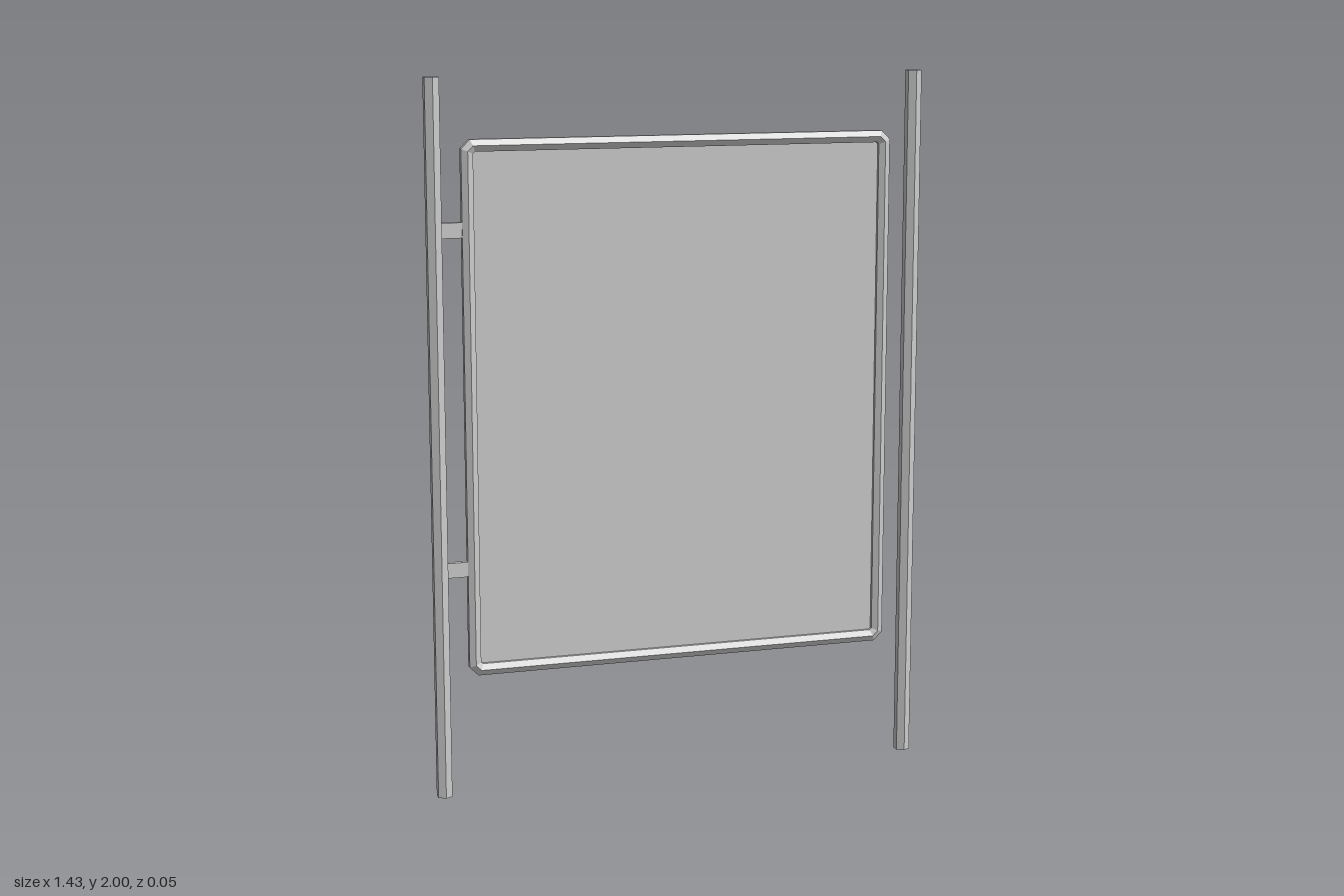
import * as THREE from 'three';

const mat = new THREE.MeshStandardMaterial({ color: 0xcccccc, flatShading: true });
const glassMat = new THREE.MeshStandardMaterial({ color: 0xcccccc, side: THREE.DoubleSide });

function add(parent, name, geometry, x, y, z, material = mat) {
  const mesh = new THREE.Mesh(geometry, material);
  mesh.name = name;
  mesh.position.set(x, y, z);
  parent.add(mesh);
  return mesh;
}

// Rectangular loop with cut corners, counter-clockwise
function cutRect(w, h, c) {
  return [
    [w, -h + c], [w, h - c], [w - c, h], [-w + c, h],
    [-w, h - c], [-w, -h + c], [-w + c, -h], [w - c, -h],
  ];
}

// Six-sided bar swept around the cut rectangle with mitred corners
function frameGeometry(w, h, cut, radius) {
  const sides = 6, corners = 8, pos = [], index = [];
  for (let i = 0; i < sides; i++) {
    const a = (i / sides) * Math.PI * 2;
    const out = Math.sin(a) * radius;
    for (const [x, y] of cutRect(w + out, h + out, cut + out * 0.586)) {
      pos.push(x, y, Math.cos(a) * radius);
    }
  }
  for (let i = 0; i < sides; i++) {
    for (let j = 0; j < corners; j++) {
      const a = i * corners + j, b = i * corners + (j + 1) % corners;
      const c = ((i + 1) % sides) * corners + j, d = ((i + 1) % sides) * corners + (j + 1) % corners;
      index.push(a, c, b, b, c, d);
    }
  }
  const geo = new THREE.BufferGeometry();
  geo.setAttribute('position', new THREE.Float32BufferAttribute(pos, 3));
  geo.setIndex(index);
  geo.computeVertexNormals();
  return geo;
}

export function createModel() {
  const model = new THREE.Group();
  model.name = 'gate';

  // Two hexagonal posts
  for (const side of [-1, 1]) {
    add(model, side < 0 ? 'rightPost' : 'leftPost',
      new THREE.CylinderGeometry(0.023, 0.023, 2, 6), side * 0.693, 1, 0);
  }

  // Hinge brackets between the right post and the panel
  for (const y of [0.65, 1.59]) {
    add(model, 'hinge', new THREE.BoxGeometry(0.085, 0.042, 0.016), -0.645, y, -0.003);
  }

  // Framed panel, swung very slightly open
  const panel = new THREE.Group();
  panel.name = 'panel';
  panel.position.set(0.0015, 1.0885, 0);
  panel.rotation.y = -0.005;
  model.add(panel);
  add(panel, 'frame', frameGeometry(0.601, 0.728, 0.015, 0.019), 0, 0, 0);
  add(panel, 'sheet', new THREE.PlaneGeometry(1.19, 1.444), 0, 0, 0, glassMat);

  return model;
}
